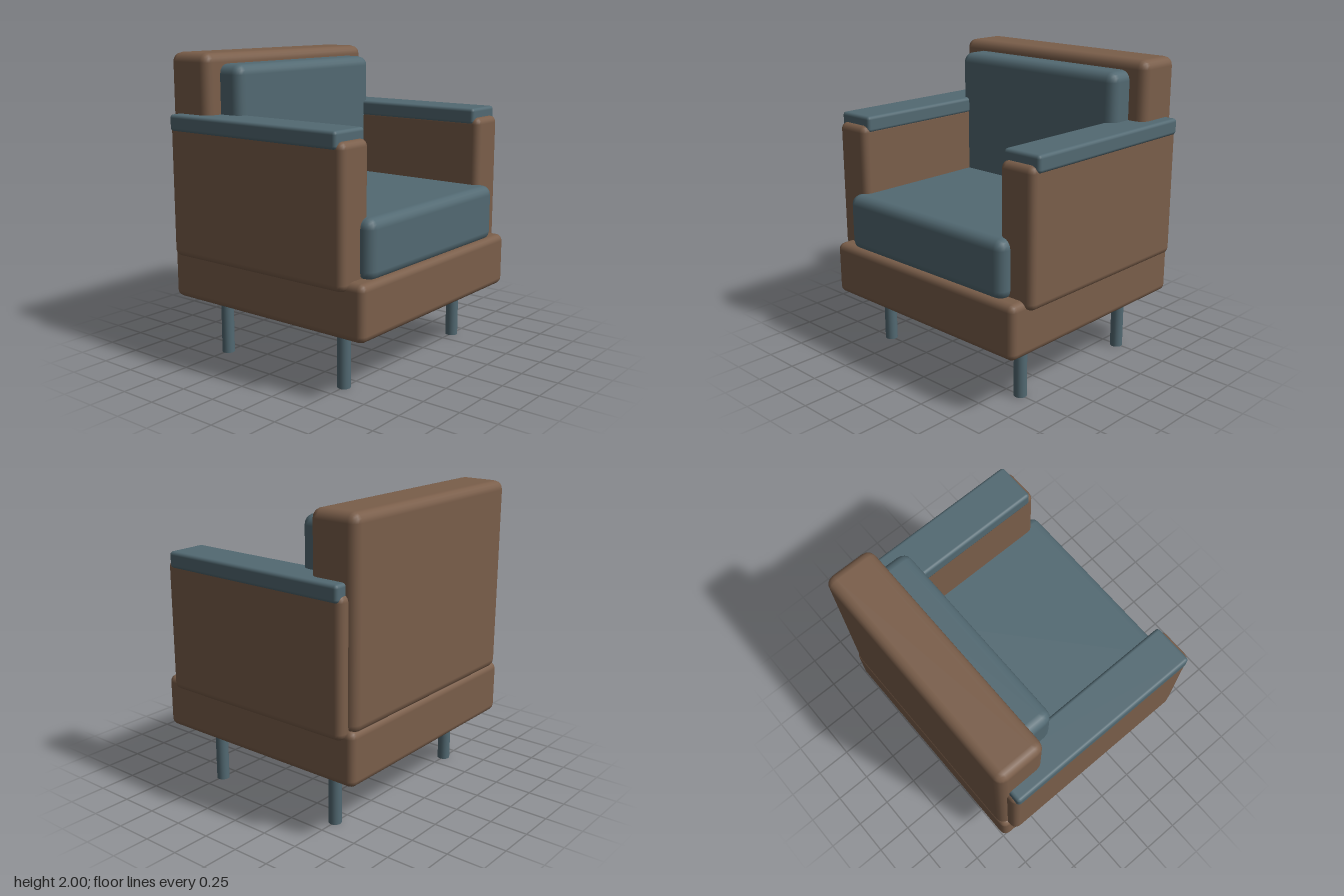
import * as THREE from 'three';
import { RoundedBoxGeometry } from 'three/addons/geometries/RoundedBoxGeometry.js';

export function createModel() {
  const group = new THREE.Group();
  const frame = new THREE.MeshStandardMaterial({ color: 0x7a5e4a });
  frame.name = 'brown upholstery';
  const fabric = new THREE.MeshStandardMaterial({ color: 0x526972 });
  fabric.name = 'slate blue';

  // Rounded block spanning [min, max] on each axis
  function block(name, material, [x0, x1], [y0, y1], [z0, z1], radius) {
    const geometry = new RoundedBoxGeometry(x1 - x0, y1 - y0, z1 - z0, 2, radius);
    const mesh = new THREE.Mesh(geometry, material);
    mesh.name = name;
    mesh.position.set((x0 + x1) / 2, (y0 + y1) / 2, (z0 + z1) / 2);
    group.add(mesh);
  }

  // Base and backrest
  block('base', frame, [-0.813, 0.813], [0.383, 0.737], [-0.785, 0.785], 0.045);
  block('backrest', frame, [-0.795, 0.795], [0.71, 2], [-0.785, -0.45], 0.06);

  // Cushions
  block('seatCushion', fabric, [-0.697, 0.697], [0.715, 1.095], [-0.5, 0.757], 0.065);
  block('backCushion', fabric, [-0.677, 0.677], [1.0, 1.93], [-0.6, -0.285], 0.065);

  // Arms and their pads
  for (const [side, s] of [['left', 1], ['right', -1]]) {
    const span = (a, b) => (s > 0 ? [a, b] : [-b, -a]);
    block(side + 'Arm', frame, span(0.605, 0.863), [0.68, 1.55], [-0.735, 0.677], 0.045);
    block(side + 'ArmPad', fabric, span(0.6, 0.876), [1.505, 1.612], [-0.717, 0.637], 0.022);
  }

  // Legs
  const legGeometry = new THREE.CylinderGeometry(0.042, 0.042, 0.42, 20);
  for (const x of [-0.617, 0.617]) {
    for (const z of [-0.497, 0.497]) {
      const leg = new THREE.Mesh(legGeometry, fabric);
      leg.name = (z > 0 ? 'front' : 'back') + (x > 0 ? 'Left' : 'Right') + 'Leg';
      leg.position.set(x, 0.21, z);
      group.add(leg);
    }
  }
  return group;
}
